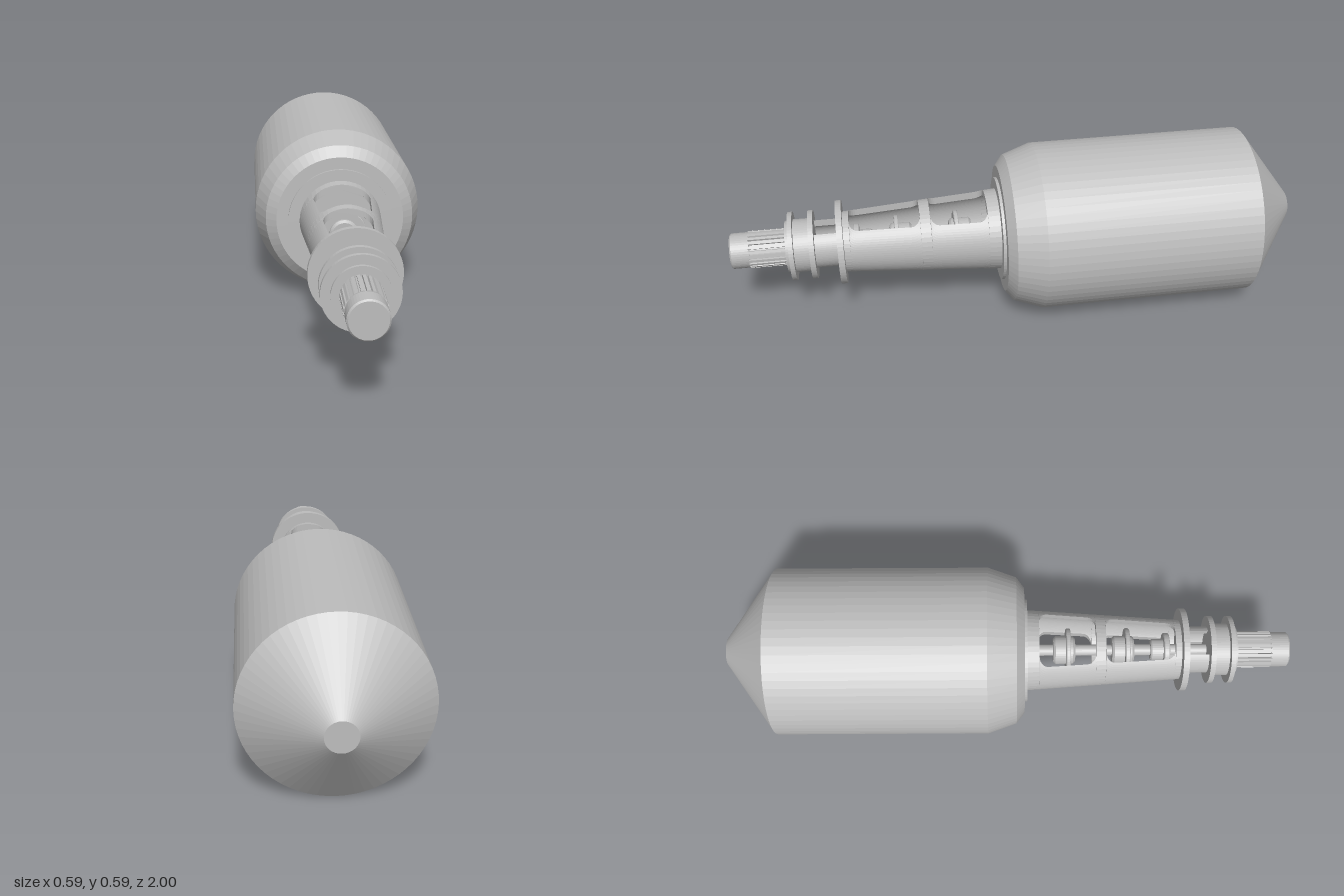
import * as THREE from 'three';

const grey = new THREE.MeshStandardMaterial({ color: 0xbdbdbd, flatShading: true });
grey.name = 'grey metal';
const AXIS_Y = 0.297;

function add(parent, name, geometry) {
  const mesh = new THREE.Mesh(geometry, grey);
  mesh.name = name;
  parent.add(mesh);
  return mesh;
}

// Solid of revolution about z from [radius, z] pairs, back to front
function turned(parent, name, profile, segments = 64) {
  const g = new THREE.LatheGeometry(profile.map(([r, z]) => new THREE.Vector2(r, z)), segments);
  return add(parent, name, g.rotateX(Math.PI / 2));
}

// A closed disc or drum between two z positions
function drum(parent, name, r, z0, z1, bevel = 0, segments = 64) {
  return turned(parent, name, [[0, z0], [r - bevel, z0], [r, z0 + bevel], [r, z1 - bevel], [r - bevel, z1], [0, z1]], segments);
}

// Half of a tube wall, with the part nearer the middle than |x| = w cut away.
// Stations are { z, r, w }, back to front.
function cutWall(stations, thickness, n = 25) {
  const pos = [], index = [], ring = 2 * n;
  for (const { z, r, w } of stations) {
    const arc = (radius, t) => {
      const a = Math.acos(Math.min(1, w / radius)) * (2 * t - 1);
      pos.push(radius * Math.cos(a), radius * Math.sin(a), z);
    };
    for (let j = 0; j < n; j++) arc(r, j / (n - 1));
    for (let j = n - 1; j >= 0; j--) arc(r - thickness, j / (n - 1));
  }
  const quad = (a, b, c, d) => index.push(a, b, c, a, c, d);
  for (let i = 0; i < stations.length - 1; i++) {
    for (let j = 0; j < ring; j++) {
      const k = (j + 1) % ring, p = i * ring, q = p + ring;
      quad(p + j, p + k, q + k, q + j);
    }
  }
  const last = (stations.length - 1) * ring;
  for (let j = 0; j < n - 1; j++) {
    const inner = ring - 1 - j;
    quad(last + j, last + j + 1, last + inner - 1, last + inner);
    quad(inner, inner - 1, j + 1, j);
  }
  const g = new THREE.BufferGeometry();
  g.setAttribute('position', new THREE.Float32BufferAttribute(pos, 3));
  g.setIndex(index);
  g.computeVertexNormals();
  return g;
}

// Both sides of a cut tube
function cutTube(parent, name, stations, thickness) {
  const group = new THREE.Group();
  group.name = name;
  const g = cutWall(stations, thickness);
  add(group, 'leftWall', g);
  add(group, 'rightWall', g).rotation.z = Math.PI;
  parent.add(group);
}

// Tapered housing with two rounded windows above and below
function housingStations() {
  const z0 = 0.065, z1 = 0.612, corner = 0.03;
  const lerp = THREE.MathUtils.lerp;
  const at = (z, w) => ({ z, r: lerp(0.144, 0.106, (z - z0) / (z1 - z0)), w });
  const stations = [at(z0, 0)];
  for (const [a, b] of [[0.11, 0.308], [0.344, 0.588]]) {
    const ts = [];
    for (let i = 0; i <= 6; i++) ts.push(corner * (1 - Math.cos(i / 6 * Math.PI / 2)));
    const open = (z) => {
      const t = Math.min(z - a, b - z, corner);
      const full = lerp(0.1, 0.066, (z - 0.11) / 0.478);
      return full - corner + Math.sqrt(Math.max(0, corner ** 2 - (corner - t) ** 2));
    };
    stations.push(at(a - 0.0005, 0));
    for (const t of ts) stations.push(at(a + t, open(a + t)));
    for (const t of ts.reverse()) stations.push(at(b - t, open(b - t)));
    stations.push(at(b + 0.0005, 0));
  }
  stations.push(at(z1, 0));
  return stations;
}

// Toothed outline for the splined grip
function splineGeometry(outer, inner, teeth, depth) {
  const pts = [];
  for (let i = 0; i < teeth; i++) {
    [[0, inner], [0.3, inner], [0.36, outer], [0.94, outer]].forEach(([f, r]) => {
      const a = (i + f) / teeth * Math.PI * 2;
      pts.push(new THREE.Vector2(r * Math.cos(a), r * Math.sin(a)));
    });
  }
  return new THREE.ExtrudeGeometry(new THREE.Shape(pts), { depth, bevelEnabled: false });
}

export function createModel() {
  const model = new THREE.Group();
  model.name = 'machineSpindle';
  const tool = new THREE.Group();
  tool.name = 'assembly';
  tool.position.y = AXIS_Y;
  model.add(tool);

  // Large drum with conical back and chamfered front
  turned(tool, 'body', [
    [0, -1], [0.05, -1], [0.297, -0.82], [0.297, -0.07],
    [0.262, 0.03], [0.225, 0.058], [0, 0.058],
  ]);
  drum(tool, 'mountingRing', 0.183, 0.05, 0.068);

  // Open housing and the shaft running through it
  cutTube(tool, 'housing', housingStations(), 0.018);
  drum(tool, 'shaft', 0.02, 0.06, 0.72, 0, 32);
  for (const z of [0.205, 0.415]) {
    drum(tool, 'couplingHub', 0.05, z - 0.043, z + 0.035, 0.008, 40);
    drum(tool, 'couplingDisc', 0.078, z + 0.002, z + 0.018, 0.003, 48);
  }
  drum(tool, 'frontHub', 0.038, 0.51, 0.56, 0.005, 32);
  drum(tool, 'frontHubCollar', 0.06, 0.555, 0.575, 0.003, 40);

  // Flange, open neck and double-rimmed collar
  drum(tool, 'flange', 0.147, 0.61, 0.631);
  cutTube(tool, 'neck', [{ z: 0.63, r: 0.083, w: 0.045 }, { z: 0.712, r: 0.083, w: 0.045 }], 0.02);
  turned(tool, 'collar', [
    [0, 0.71], [0.12, 0.71], [0.12, 0.728], [0.093, 0.728],
    [0.093, 0.781], [0.12, 0.781], [0.12, 0.797], [0.09, 0.797],
    [0.09, 0.809], [0, 0.809],
  ]);

  // Splined grip and smooth tip
  add(tool, 'splinedGrip', splineGeometry(0.065, 0.058, 24, 0.13)).position.z = 0.807;
  drum(tool, 'tip', 0.062, 0.93, 1, 0.005, 48);
  return model;
}
